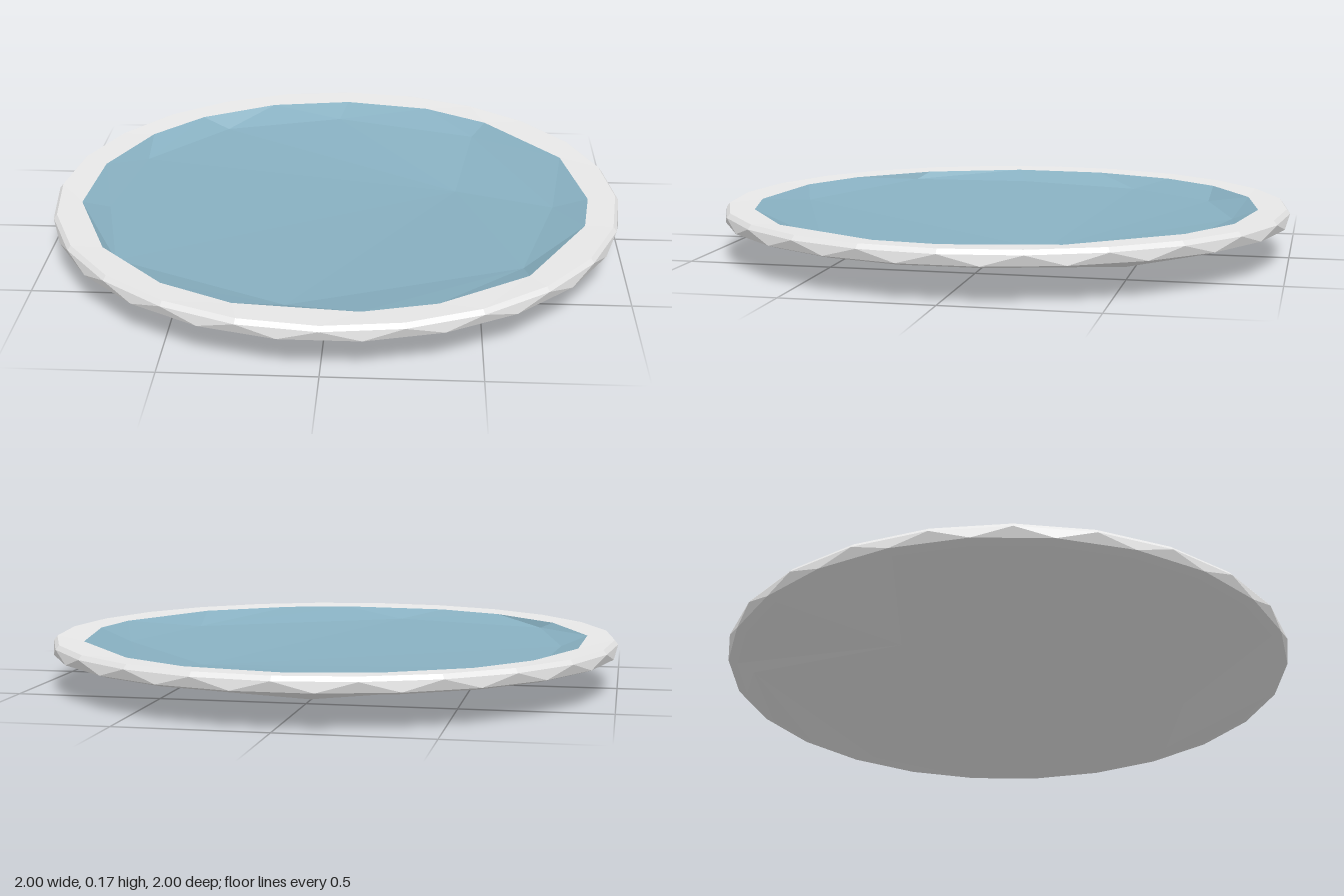
import * as THREE from 'three';

const SIDES = 24;

// Regular ring of points, optionally turned by a fraction of a step
function ring(radius, y, turn = 0) {
  return Array.from({ length: SIDES }, (_, i) => {
    const a = ((i + turn) / SIDES) * Math.PI * 2;
    return [radius * Math.cos(a), y, radius * Math.sin(a)];
  });
}

const angleOf = (p) => Math.atan2(p[2], p[0]);

// Triangles between two loops around the y axis; a single point makes a fan.
// Loops run from the middle of the bowl outwards, over the rim and underneath.
function stitch(loopA, loopB) {
  const a = [...loopA].sort((p, q) => angleOf(p) - angleOf(q));
  const b = [...loopB].sort((p, q) => angleOf(p) - angleOf(q));
  const at = (l, i) => l[i % l.length];
  const next = (l, i) => (l.length === 1 || i >= l.length
    ? Infinity
    : angleOf(at(l, i + 1)) + (i + 1 === l.length ? Math.PI * 2 : 0));
  const out = [];
  let i = 0, j = 0;
  for (;;) {
    const na = next(a, i), nb = next(b, j);
    if (na === Infinity && nb === Infinity) break;
    if (na <= nb) {
      out.push(...at(a, i), ...at(a, i + 1), ...at(b, j));
      i++;
    } else {
      out.push(...at(a, i), ...at(b, j + 1), ...at(b, j));
      j++;
    }
  }
  return out;
}

// Flat-faced mesh from a chain of loops
function surface(name, loops, material) {
  const positions = [];
  for (let k = 0; k + 1 < loops.length; k++) positions.push(...stitch(loops[k], loops[k + 1]));
  const geometry = new THREE.BufferGeometry();
  geometry.setAttribute('position', new THREE.Float32BufferAttribute(positions, 3));
  geometry.computeVertexNormals();
  const mesh = new THREE.Mesh(geometry, material);
  mesh.name = name;
  return mesh;
}

export function createModel() {
  const group = new THREE.Group();
  group.name = 'shallowDish';
  const glaze = new THREE.MeshStandardMaterial({ color: 0x88b0c1 });
  glaze.name = 'blue glaze';
  const clay = new THREE.MeshStandardMaterial({ color: 0xe8e8e8 });
  clay.name = 'pale grey';

  // Uneven edge where the blue hollow meets the rim
  const hollowEdge = [
    [0, -0.89], [0.32, -0.83], [0.55, -0.69], [0.82, -0.35], [0.89, 0.02], [0.86, 0.24],
    [0.65, 0.62], [0.36, 0.82], [0.12, 0.885], [-0.28, 0.85], [-0.52, 0.73], [-0.75, 0.49],
    [-0.89, 0.14], [-0.87, -0.2], [-0.74, -0.5], [-0.57, -0.69], [-0.3, -0.84],
  ].map(([x, z]) => [x, 0.165, z]);

  // Foot of the sloping sides inside the hollow
  const floorEdge = [
    [-0.03, 0.125, -0.8], [0.5, 0.12, -0.65], [0.77, 0.12, 0], [0.64, 0.12, 0.48],
    [-0.12, 0.13, 0.79], [-0.7, 0.14, 0.53], [-0.8, 0.13, 0.1], [-0.74, 0.12, -0.36],
    [-0.47, 0.12, -0.68],
  ];

  // Hammered facets of the underside
  const underFacets = [
    [0.64, 0.07, -0.52], [0.6, 0.1, 0.635], [0.045, 0.04, 0.635],
    [-0.48, 0.03, 0.09], [-0.43, 0.035, -0.36], [-0.1, 0.087, -0.9],
  ];

  const lowerRim = ring(0.965, 0.11, 0.5);
  group.add(
    surface('hollow', [[[0.43, 0.075, -0.22]], floorEdge, hollowEdge], glaze),
    surface('rim', [hollowEdge, ring(0.988, 0.17), ring(1, 0.155), ring(0.996, 0.12, 0.5), lowerRim], clay),
    surface('underside', [lowerRim, underFacets, [[0, 0, 0]]], clay),
  );
  return group;
}
